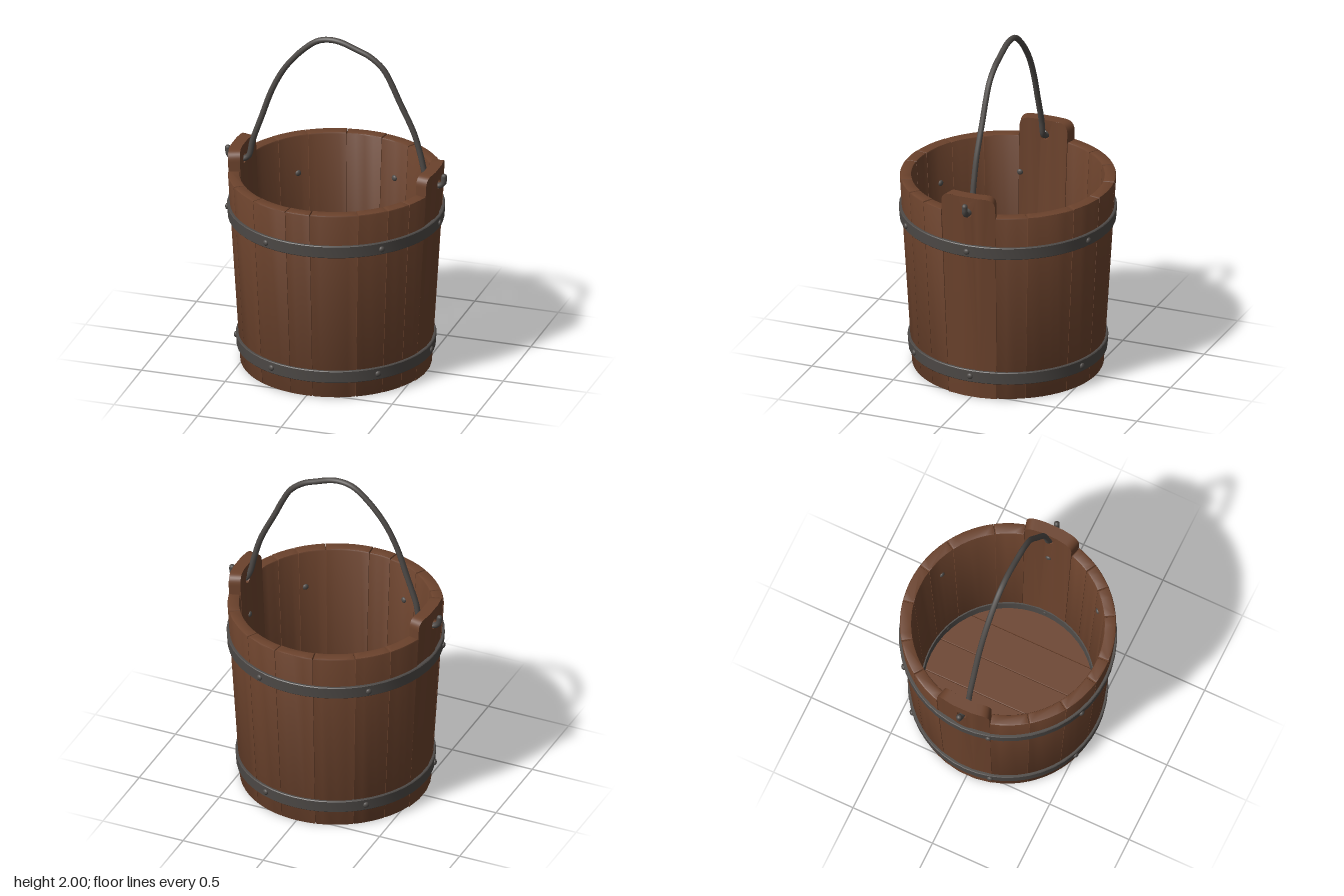
import * as THREE from 'three';
import { toCreasedNormals, mergeGeometries } from 'three/addons/utils/BufferGeometryUtils.js';

const R_IN = 0.485, R_OUT = 0.545, HEIGHT = 1.165;
const EAR_HALF = 0.165, EAR_R = 0.605, EAR_TOP = 1.27;
const rad = THREE.MathUtils.degToRad;
// radius multiplier of the flaring bucket wall at height y
const flare = (y) => 1 + 0.13 * Math.min(y / HEIGHT, 1);

export function createModel() {
  const wood = new THREE.MeshStandardMaterial({ color: 0x6b422c });
  wood.name = 'brown wood';
  const iron = new THREE.MeshStandardMaterial({ color: 0x4e4a47 });
  iron.name = 'dark iron';

  const bucket = new THREE.Group();
  bucket.name = 'bucket';
  const add = (geometry, material, name, parent = bucket) => {
    const mesh = new THREE.Mesh(geometry, material);
    mesh.name = name;
    parent.add(mesh);
    return mesh;
  };
  const addGroup = (name) => {
    const g = new THREE.Group();
    g.name = name;
    bucket.add(g);
    return g;
  };

  // Plain staves: bevelled arc sectors, flared outwards with height
  function staveGeometry(from, to, height) {
    const pts = [], steps = Math.max(3, Math.round((to - from) / 5));
    const arc = (r, a, b) => {
      for (let i = 0; i <= steps; i++) {
        const t = rad(a + ((b - a) * i) / steps);
        pts.push(new THREE.Vector2(r * Math.cos(t), -r * Math.sin(t)));
      }
    };
    arc(R_OUT, from, to);
    arc(R_IN, to, from);
    const bevel = 0.009;
    const g = new THREE.ExtrudeGeometry(new THREE.Shape(pts), {
      depth: height - 2 * bevel, bevelSize: bevel, bevelThickness: bevel,
      bevelOffset: -bevel, bevelSegments: 2,
    });
    g.translate(0, 0, bevel).rotateX(-Math.PI / 2);
    const p = g.attributes.position;
    for (let i = 0; i < p.count; i++) {
      const k = flare(p.getY(i));
      p.setXYZ(i, p.getX(i) * k, p.getY(i), p.getZ(i) * k);
    }
    return toCreasedNormals(g, 0.6);
  }

  const staves = addGroup('staves');
  const seams = [
    [15.7, 29, 43, 60, 86, 100, 122, 143, 164.3],
    [195.7, 215, 235, 258, 280, 300, 327, 344.3],
  ];
  seams.forEach((list, side) => {
    for (let i = 0; i < list.length - 1; i++) {
      const h = HEIGHT - 0.003 + 0.003 * Math.sin(i * 7 + side);
      add(staveGeometry(list[i] + 0.12, list[i + 1] - 0.12, h), wood, 'stave', staves);
    }
  });

  // Tall ear staves: three columns bent round the wall, the middle one pierced
  function earGeometry() {
    const inner = 0.055, corner = 0.06;
    const middle = new THREE.Shape();
    middle.moveTo(-inner, 0).lineTo(inner, 0).lineTo(inner, EAR_TOP).lineTo(-inner, EAR_TOP);
    const hole = new THREE.Path();
    hole.absarc(0, 1.175, 0.03, 0, Math.PI * 2, true);
    middle.holes.push(hole);
    const sideShape = (s) => {
      const shape = new THREE.Shape();
      shape.moveTo(s * inner, 0).lineTo(s * EAR_HALF, 0);
      shape.lineTo(s * EAR_HALF, EAR_TOP - corner);
      shape.quadraticCurveTo(s * EAR_HALF, EAR_TOP, s * (EAR_HALF - corner), EAR_TOP);
      shape.lineTo(s * inner, EAR_TOP);
      return shape;
    };
    const parts = [middle, sideShape(1), sideShape(-1)].map((shape) =>
      new THREE.ExtrudeGeometry(shape, { depth: R_OUT - R_IN, bevelEnabled: false, curveSegments: 8 }));
    const g = mergeGeometries(parts);
    const p = g.attributes.position;
    for (let i = 0; i < p.count; i++) {
      const y = p.getY(i), a = -p.getX(i) / EAR_R;
      const r = (R_IN + p.getZ(i)) * flare(y);
      p.setXYZ(i, r * Math.cos(a), y, r * Math.sin(a));
    }
    return toCreasedNormals(g, 0.5);
  }
  const ear = earGeometry();
  add(ear, wood, 'leftEarStave', staves);
  add(ear, wood, 'rightEarStave', staves).rotation.y = Math.PI;

  // Floor boards: strips of a disc running front to back
  const floor = addGroup('floor');
  const FLOOR_R = 0.492;
  const cuts = [-FLOOR_R, -0.31, -0.1, 0.105, 0.31, FLOOR_R];
  for (let i = 0; i < cuts.length - 1; i++) {
    const x0 = cuts[i] + 0.001, x1 = cuts[i + 1] - 0.001, pts = [];
    const steps = 8;
    for (const s of [-1, 1]) {
      for (let j = 0; j <= steps; j++) {
        const t = s < 0 ? j / steps : 1 - j / steps;
        const x = x0 + (x1 - x0) * t;
        pts.push(new THREE.Vector2(x, s * Math.sqrt(FLOOR_R ** 2 - x * x)));
      }
    }
    const bevel = 0.003;
    const g = new THREE.ExtrudeGeometry(new THREE.Shape(pts), {
      depth: 0.05, bevelSize: bevel, bevelThickness: bevel, bevelOffset: -bevel, bevelSegments: 1,
    });
    g.rotateX(-Math.PI / 2).translate(0, 0.045, 0);
    add(toCreasedNormals(g, 0.5), wood, 'floorBoard', floor);
  }

  // Iron bands with a closed rectangular section following the wall
  function bandGeometry(y0, y1, rIn, rOut) {
    const a = flare(y0), b = flare(y1), c = 0.004;
    const profile = [
      [rIn * a, y0], [rOut * a - c, y0], [rOut * a, y0 + c],
      [rOut * b, y1 - c], [rOut * b - c, y1], [rIn * b, y1], [rIn * a, y0],
    ].map(([r, y]) => new THREE.Vector2(r, y));
    return toCreasedNormals(new THREE.LatheGeometry(profile, 48), 0.5);
  }
  add(bandGeometry(0.1, 0.175, 0.535, 0.56), iron, 'lowerHoop');
  add(bandGeometry(0.9, 0.975, 0.535, 0.56), iron, 'upperHoop');
  add(bandGeometry(0.1, 0.17, 0.478, 0.49), iron, 'innerRing');

  // Rivets, domed outside the hoops and inside the wall
  const rivets = addGroup('rivets');
  const dome = new THREE.SphereGeometry(0.018, 12, 8);
  for (const y of [0.138, 0.935]) {
    for (const deg of [0, 47, 112, 165, 228, 290]) {
      for (const r of [0.562, R_IN]) {
        const rivet = add(dome, iron, 'rivet', rivets);
        const a = rad(deg), k = r * flare(y);
        rivet.position.set(k * Math.cos(a), y, k * Math.sin(a));
        rivet.rotation.y = -a;
        rivet.scale.x = 0.65;
      }
    }
  }

  // Bent handle hooked through both ears
  const path = [
    [-0.648, 1.225], [-0.642, 1.185], [-0.615, 1.165], [-0.57, 1.165], [-0.525, 1.19],
    [-0.5, 1.29], [-0.445, 1.45], [-0.385, 1.62], [-0.31, 1.765], [-0.206, 1.89],
    [-0.11, 1.965], [-0.035, 1.982], [0.03, 1.975], [0.12, 1.943], [0.2, 1.91],
    [0.28, 1.845], [0.33, 1.76], [0.376, 1.66], [0.466, 1.47], [0.505, 1.34],
    [0.535, 1.22], [0.565, 1.17], [0.615, 1.165], [0.642, 1.185], [0.646, 1.225],
  ].map(([x, y]) => new THREE.Vector3(x, y, 0));
  const handle = addGroup('handle');
  add(new THREE.TubeGeometry(new THREE.CatmullRomCurve3(path), 120, 0.017, 10), iron, 'handleRod', handle);
  for (const end of [path[0], path[path.length - 1]]) {
    add(new THREE.SphereGeometry(0.017, 10, 8), iron, 'handleTip', handle).position.copy(end);
  }

  return bucket;
}
